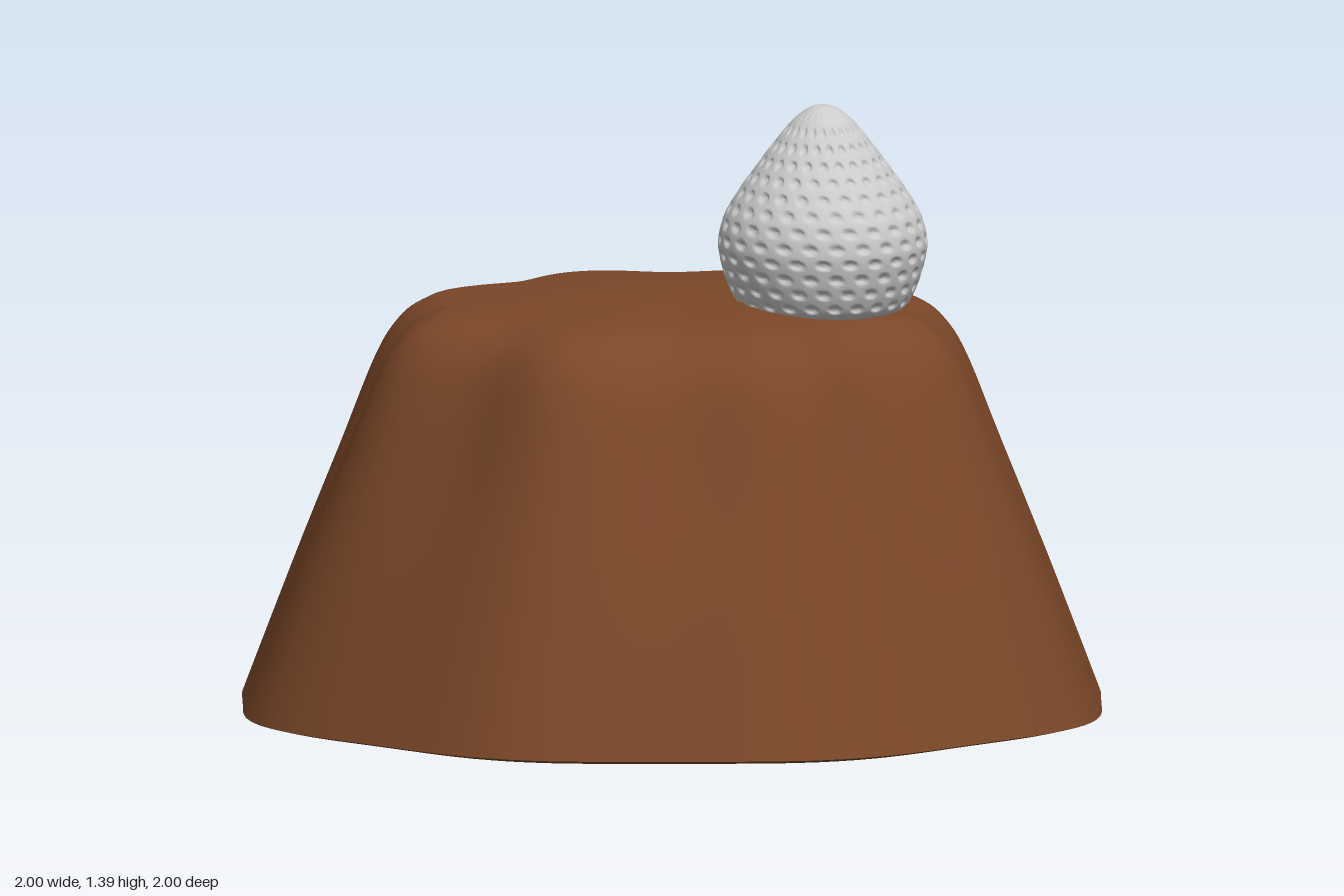
import * as THREE from 'three';
import { mergeVertices } from 'three/addons/utils/BufferGeometryUtils.js';

const smooth = THREE.MathUtils.smoothstep;

// Lathe a profile, move every vertex by a rule, then rebuild seamless smooth normals.
function shapedLathe(points, segments, rule) {
  const lathe = new THREE.LatheGeometry(points, segments);
  const pos = lathe.attributes.position;
  for (let i = 0; i < pos.count; i++) {
    const x = pos.getX(i), y = pos.getY(i), z = pos.getZ(i);
    const r = Math.hypot(x, z), a = Math.atan2(x, z);
    const nr = rule(r, a, y);
    pos.setXYZ(i, nr * Math.sin(a), y, nr * Math.cos(a));
  }
  lathe.deleteAttribute('uv');
  lathe.deleteAttribute('normal');
  const geo = mergeVertices(lathe, 1e-5);
  geo.computeVertexNormals();
  return geo;
}

const profile = (pairs, n) =>
  new THREE.SplineCurve(pairs.map(([r, y]) => new THREE.Vector2(r, y)))
    .getPoints(n).map(p => new THREE.Vector2(Math.max(p.x, 0), p.y));

// Eight soft lobes, full radius at every 45 degrees, deeper toward the top rim.
function lobed(r, a, y) {
  const depth = (0.036 + 0.025 * smooth(y, 0.3, 0.9)) * smooth(r, 0.1, 0.55);
  return r - depth * (1 - Math.cos(8 * a)) / 2;
}

export function createModel() {
  const model = new THREE.Group();
  const brown = new THREE.MeshStandardMaterial({ color: 0x7b4728 });
  const grey = new THREE.MeshStandardMaterial({ color: 0xcccccc });

  // Tapered chocolate body with rounded shoulder and slightly domed top
  const sides = profile([
    [1, 0.015], [0.9, 0.275], [0.79, 0.555], [0.705, 0.77], [0.65, 0.86],
    [0.59, 0.904], [0.52, 0.925], [0.33, 0.945], [0.15, 0.957], [0, 0.96],
  ], 48);
  const body = new THREE.Mesh(shapedLathe(sides, 128, lobed), brown);
  body.name = 'cakeBody';

  // Nearly flat underside
  const under = [[0, 0], [0.85, 0], [0.96, 0.005], [1, 0.015]]
    .map(([r, y]) => new THREE.Vector2(r, y));
  const base = new THREE.Mesh(shapedLathe(under, 128, lobed), brown);
  base.name = 'cakeUnderside';
  model.add(body, base);

  // Strawberry with staggered rows of oval seed dimples
  const perRow = 24, rowStep = 0.035;
  const dimpled = (r, a, y) => {
    const row = Math.round((y - 0.95) / rowStep);
    const dy = ((y - 0.95) / rowStep - row) * 2;
    const turn = a / (2 * Math.PI) * perRow + (row & 1) * 0.5;
    const da = (turn - Math.round(turn)) * 2;
    const d = Math.hypot(da / 0.65, dy / 0.65);
    const fade = smooth(r, 0.03, 0.12) * smooth(y, 0.93, 0.95);
    return r - 0.008 * fade * (1 - smooth(d, 0.45, 1));
  };
  const berryProfile = profile([
    [0, 0.915], [0.12, 0.916], [0.18, 0.93], [0.208, 0.97], [0.228, 1.03], [0.235, 1.08],
    [0.221, 1.14], [0.186, 1.2], [0.15, 1.25], [0.113, 1.3], [0.067, 1.355],
    [0.03, 1.383], [0, 1.39],
  ], 140);
  const berry = new THREE.Mesh(shapedLathe(berryProfile, perRow * 10, dimpled), grey);
  berry.name = 'strawberry';
  berry.position.x = 0.365;
  model.add(berry);

  return model;
}
